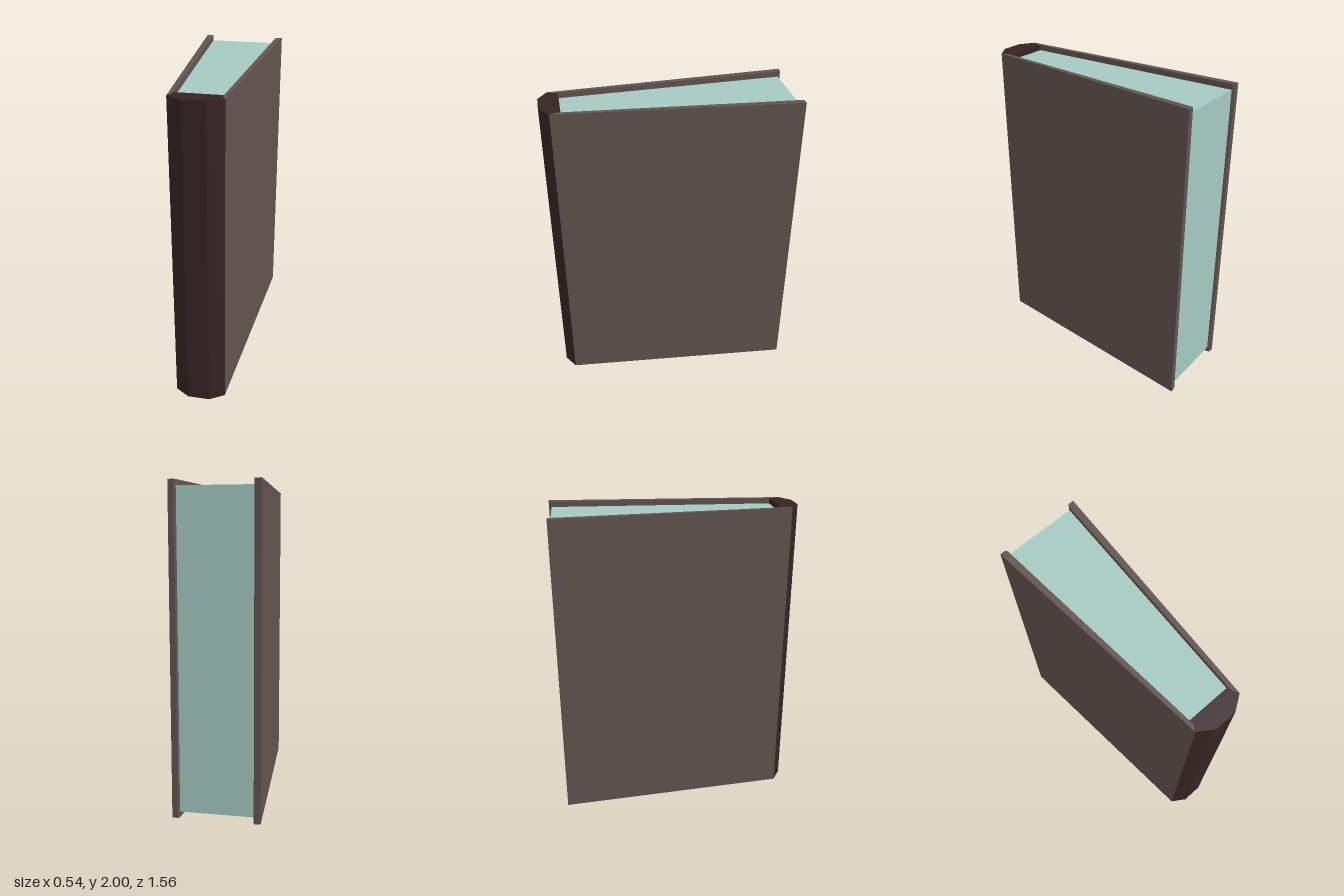
import * as THREE from 'three';

const coverMaterial = new THREE.MeshStandardMaterial({ name: 'brown cover', color: 0x62534f });
const spineMaterial = new THREE.MeshStandardMaterial({ name: 'dark brown spine', color: 0x372323 });
const pageMaterial = new THREE.MeshStandardMaterial({ name: 'pale teal pages', color: 0xa5c9c2 });

// Upright prism from a plan outline of [x, z] points
function prism(name, outline, bottom, top, material) {
  const shape = new THREE.Shape(outline.map(([x, z]) => new THREE.Vector2(x, -z)));
  const geometry = new THREE.ExtrudeGeometry(shape, { depth: top - bottom, bevelEnabled: false });
  geometry.rotateX(-Math.PI / 2).translate(0, bottom, 0);
  const mesh = new THREE.Mesh(geometry, material);
  mesh.name = name;
  return mesh;
}

// Full symmetric outline from its +x half
const symmetric = (half) => [...half, ...half.map(([x, z]) => [-x, z]).reverse()];

export function createModel() {
  const book = new THREE.Group();
  book.name = 'book';

  // Boards splay outwards from the spine and have a chamfered inner edge
  const board = [[0.27, -0.778], [0.234, -0.778], [0.226, -0.765], [0.14, 0.655], [0.141, 0.685], [0.161, 0.718]];
  for (const [name, side] of [['leftCover', 1], ['rightCover', -1]]) {
    book.add(prism(name, board.map(([x, z]) => [x * side, z]), 0, 2, coverMaterial));
  }

  // Faceted spine
  const spine = [[0.07, 0.778], [0.161, 0.718], [0.141, 0.685], [0.14, 0.652]];
  book.add(prism('spine', symmetric(spine), 0, 2, spineMaterial));

  // Wedge of pages, set back from the board edges
  const pages = [[0.226, -0.762], [0.14, 0.655]];
  book.add(prism('pages', symmetric(pages), 0.035, 1.965, pageMaterial));

  return book;
}
